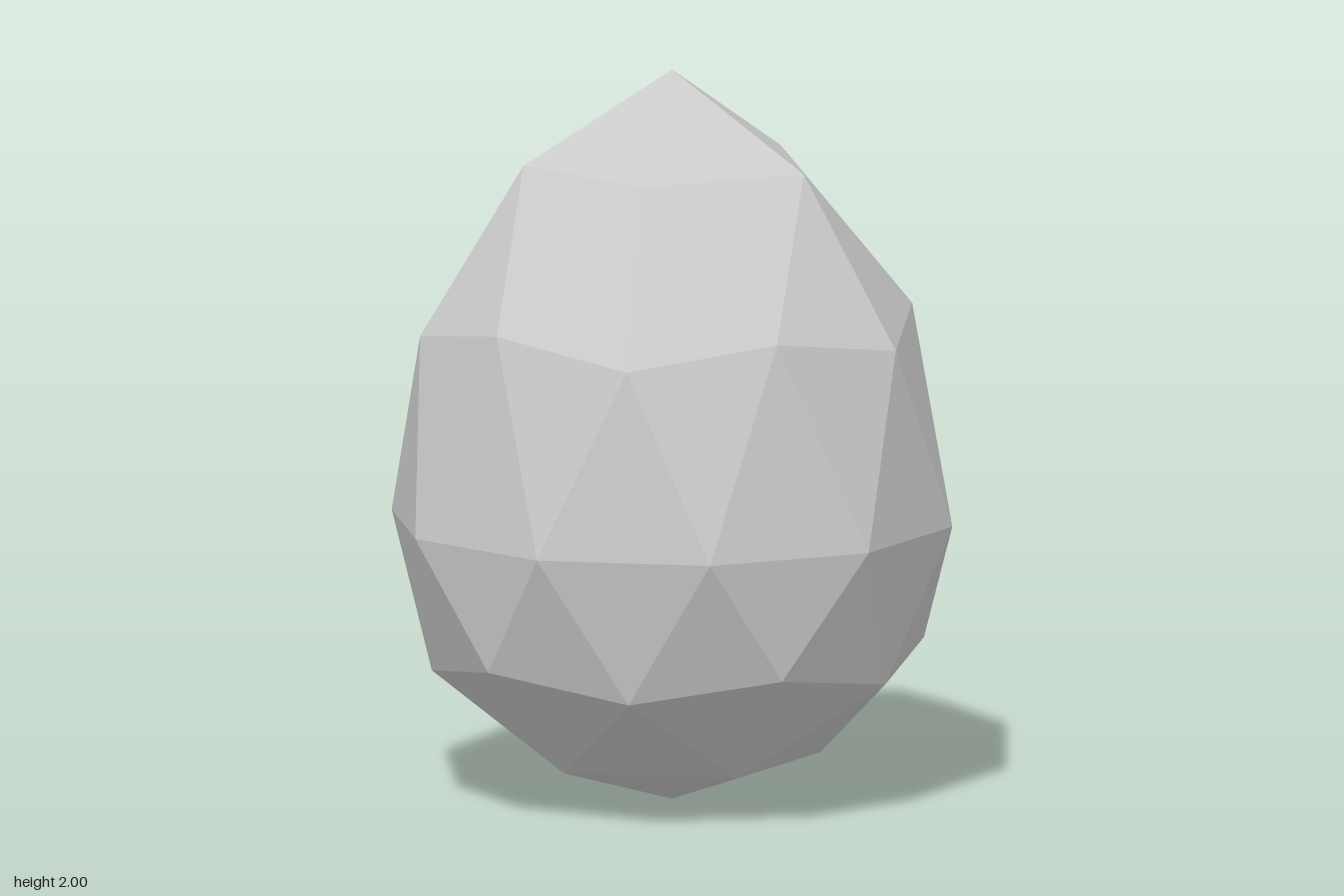
import * as THREE from 'three';

// Point on a ring: radius, height, angle in degrees (clockwise seen from above)
function ringPoint(radius, y, degrees) {
  const a = THREE.MathUtils.degToRad(degrees);
  return new THREE.Vector3(radius * Math.cos(a), y, radius * Math.sin(a));
}

// Egg-shaped faceted sphere: an icosahedron, each face split into four
function eggGeometry() {
  const tip = new THREE.Vector3(0, 2, 0);
  const base = new THREE.Vector3(0, 0, 0);
  const points = [];
  // Corners p, q, r counter-clockwise, with the points between them
  const splitFace = (p, q, r, pq, qr, rp) =>
    points.push(p, pq, rp, pq, q, qr, rp, qr, r, pq, qr, rp);

  for (let i = 0; i < 5; i++) {
    const a = i * 72;
    const crown = (d) => ringPoint(0.405, 1.745, a + d);
    const shoulder = (d) => ringPoint(0.687, 1.285, a + d);
    const shoulderMid = ringPoint(0.655, 1.345, a + 36);
    const belly = (d) => ringPoint(0.77, 0.77, a + d);
    const lower = (d) => ringPoint(0.687, 0.427, a + d);
    const lowerMid = ringPoint(0.655, 0.367, a);
    const foot = (d) => ringPoint(0.405, 0.118, a + d);

    splitFace(tip, shoulder(72), shoulder(0), crown(72), shoulderMid, crown(0));
    splitFace(shoulder(72), lower(36), shoulder(0), belly(54), belly(18), shoulderMid);
    splitFace(shoulder(0), lower(36), lower(-36), belly(18), lowerMid, belly(-18));
    splitFace(base, lower(-36), lower(36), foot(-36), lowerMid, foot(36));
  }

  const geometry = new THREE.BufferGeometry().setFromPoints(points);
  geometry.computeVertexNormals(); // unshared corners give flat facets
  return geometry;
}

export function createModel() {
  const shell = new THREE.MeshStandardMaterial({ color: 0xcccccc, flatShading: true });
  shell.name = 'light grey shell';

  const egg = new THREE.Mesh(eggGeometry(), shell);
  egg.name = 'eggShell';

  const model = new THREE.Group();
  model.name = 'facetedEgg';
  model.add(egg);
  return model;
}
